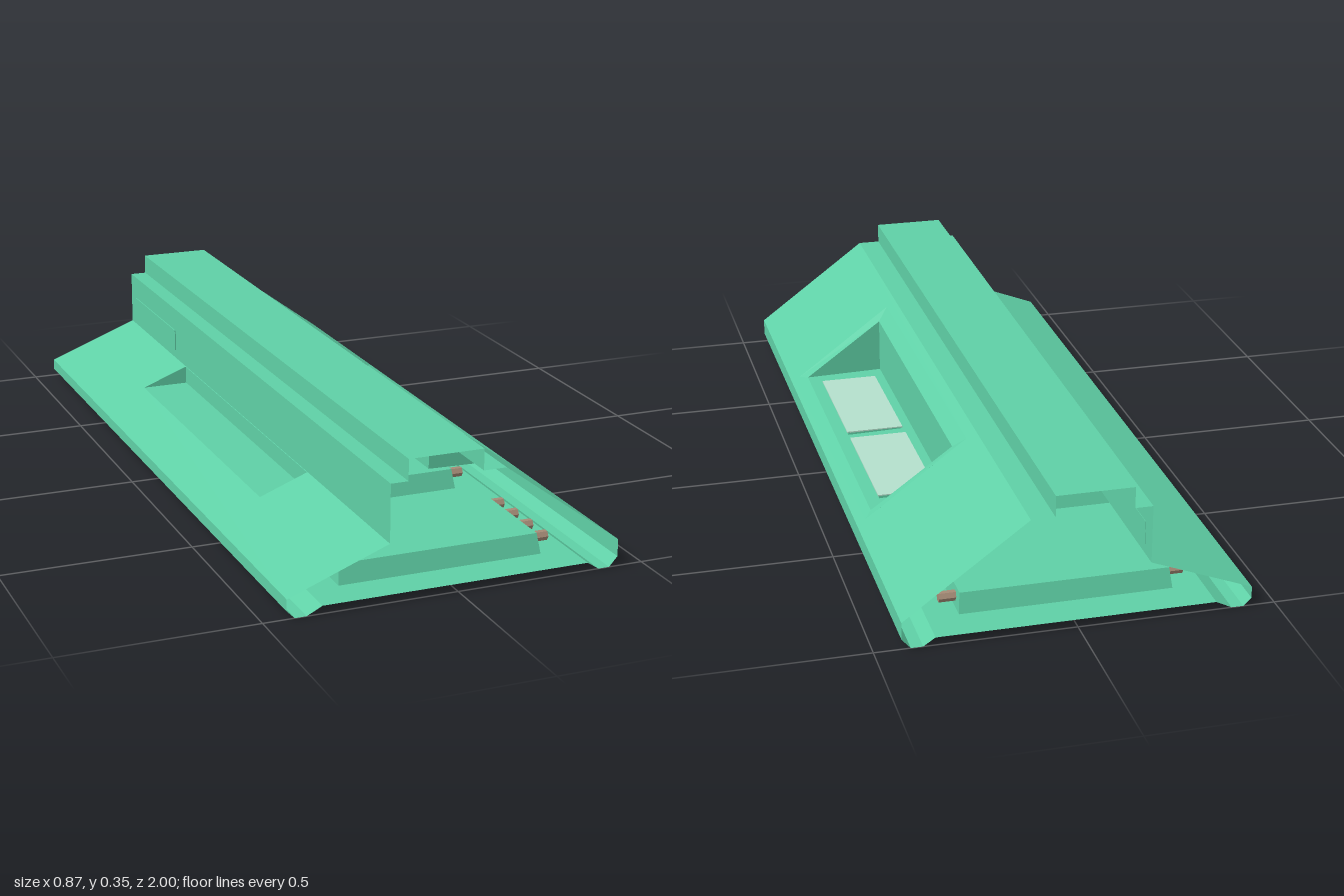
import * as THREE from 'three';

const paint = (color) => new THREE.MeshStandardMaterial({ color, side: THREE.DoubleSide });
const green = paint(0x5fd0a6), pale = paint(0xb4e0cc), brown = paint(0xa58b76);

function mesh(name, geometry, material) {
  const m = new THREE.Mesh(geometry, material);
  m.name = name;
  return m;
}

// Flat strip between two profile points; holes are [u0, u1, z0, z1] with u from 0 to 1
function strip(a, b, holes = []) {
  const dx = b[0] - a[0], dy = b[1] - a[1], len = Math.hypot(dx, dy);
  const rect = (Type, u0, u1, z0, z1) => {
    const s = new Type();
    s.moveTo(u0 * len, -z1);
    s.lineTo(u1 * len, -z1);
    s.lineTo(u1 * len, -z0);
    s.lineTo(u0 * len, -z0);
    s.closePath();
    return s;
  };
  const shape = rect(THREE.Shape, 0, 1, -1, 1);
  holes.forEach((h) => shape.holes.push(rect(THREE.Path, ...h)));
  const g = new THREE.ShapeGeometry(shape), p = g.attributes.position;
  for (let i = 0; i < p.count; i++) {
    const t = p.getX(i) / len;
    p.setXYZ(i, a[0] + dx * t, a[1] + dy * t, -p.getY(i));
  }
  g.computeVertexNormals();
  return g;
}

// Flat-faced surface from a list of polygons (fanned into triangles)
function facets(polygons) {
  const v = [];
  polygons.forEach((q) => {
    for (let i = 1; i < q.length - 1; i++) v.push(...q[0], ...q[i], ...q[i + 1]);
  });
  const g = new THREE.BufferGeometry();
  g.setAttribute('position', new THREE.Float32BufferAttribute(v, 3));
  g.computeVertexNormals();
  return g;
}

// Quads joining two loops of four corners
const band = (lo, hi) => lo.map((p, i) => [p, lo[(i + 1) % 4], hi[(i + 1) % 4], hi[i]]);
// Rectangle spanning two profile points over z = -h to h
const span = (a, b, h) => [[...a, h], [...b, h], [...b, -h], [...a, -h]];

// Wedge-shaped recess with a floor, a back wall and two triangular ends
function wedge(low, corner, high, h) {
  const ends = [h, -h].map((z) => [[...low, z], [...corner, z], [...high, z]]);
  return [span(low, corner, h), span(corner, high, h), ...ends];
}

export function createModel() {
  const model = new THREE.Group();
  const trayZ = [-0.735, -0.245, 0.245, 0.735];

  // Folded shell, open at both ends
  const profile = [
    [-0.39, 0], [-0.42, 0], [-0.44, 0.02], [-0.44, 0.05], [-0.18, 0.15], [-0.18, 0.3],
    [-0.135, 0.3], [-0.135, 0.355], [0.06, 0.355], [0.06, 0.3], [0.12, 0.3],
    [0.432, 0.07], [0.432, 0.025], [0.41, 0], [0.38, 0], [0.35, 0.02], [-0.35, 0.02],
  ];
  const slopeAt = (x) => [x, 0.3 - (x - 0.12) * 0.737];
  const slopeU = (x) => (x - 0.12) / 0.312;
  const baseU = (x) => (0.35 - x) / 0.7;
  const holes = {
    3: [[0.5, 0.995, -0.48, 0.48]],
    10: [[slopeU(0.145), slopeU(0.41), -0.48, 0.48]],
    15: trayZ.map((z) => [baseU(0.27), baseU(-0.27), z - 0.17, z + 0.17]),
  };
  const shell = new THREE.Group();
  shell.name = 'shell';
  profile.forEach((a, i) => {
    const b = profile[(i + 1) % profile.length];
    shell.add(mesh('shellStrip', strip(a, b, holes[i]), green));
  });
  model.add(shell);

  // Sloping side pocket with a bevelled mouth
  const low = [0.39, 0.095], high = [0.175, 0.25];
  model.add(mesh('sidePocket', facets([
    ...band(span(slopeAt(0.41), slopeAt(0.145), 0.48), span(low, high, 0.45)),
    ...wedge(low, [0.175, 0.1], high, 0.45),
  ]), green));

  // Pale panels on the pocket floor with their housings below
  [-0.205, 0.205].forEach((z) => {
    const housing = mesh('panelHousing', new THREE.BoxGeometry(0.15, 0.012, 0.37), green);
    housing.position.set(0.28, 0.096, z);
    const panel = mesh('panel', new THREE.BoxGeometry(0.155, 0.004, 0.37), pale);
    panel.position.set(0.28, 0.103, z);
    model.add(housing, panel);
  });

  // Step recess on the other side
  model.add(mesh('stepRecess',
    facets(wedge([-0.31, 0.1], [-0.18, 0.1], [-0.18, 0.15], 0.48)), green));

  // Small plate on the upright wall
  const plate = mesh('wallPlate', new THREE.BoxGeometry(0.004, 0.06, 0.38), green);
  plate.position.set(-0.181, 0.205, -0.76);
  model.add(plate);

  // Trays sunk into the base, each crossed by bars
  trayZ.forEach((z) => {
    const tray = new THREE.Group();
    tray.name = 'tray';
    const loop = (x, y, h) => span([-x, y], [x, y], h);
    const rim = loop(0.27, 0.02, 0.17), top = loop(0.265, 0.07, 0.155);
    tray.add(mesh('trayShell', facets([...band(rim, top), top]), green));
    for (let i = 0; i < 4; i++) {
      const bar = mesh('bar', new THREE.CylinderGeometry(0.0135, 0.0135, 0.62, 6).toNonIndexed(), brown);
      bar.geometry.computeVertexNormals();
      bar.rotation.z = Math.PI / 2;
      bar.position.set(0, 0.046, (i - 1.5) * 0.08);
      tray.add(bar);
    }
    tray.position.z = z;
    model.add(tray);
  });

  return model;
}
